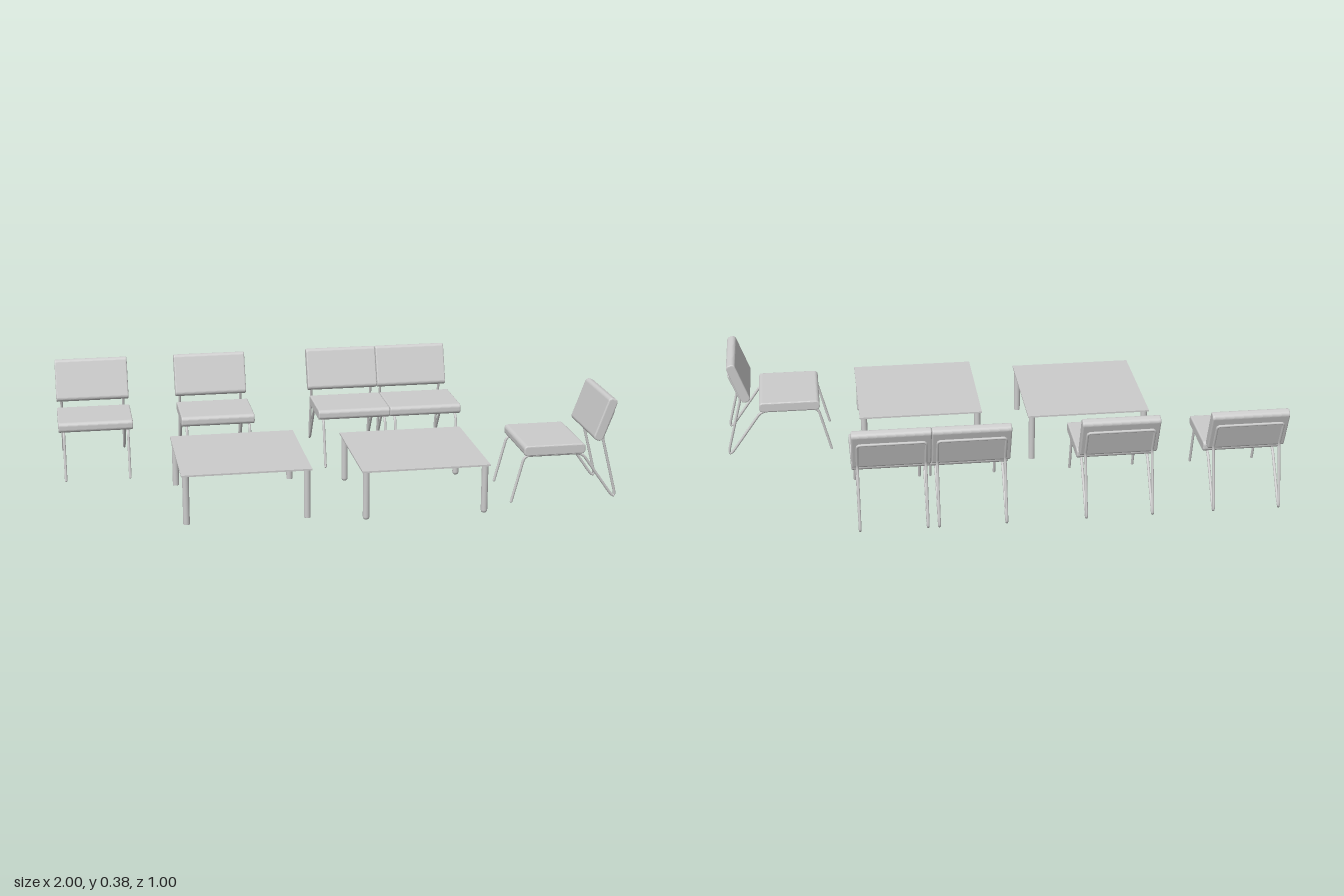
import * as THREE from 'three';

const material = new THREE.MeshStandardMaterial({ color: 0xcccccc });

function add(parent, name, geometry) {
  const mesh = new THREE.Mesh(geometry, material);
  mesh.name = name;
  parent.add(mesh);
  return mesh;
}

// Straight runs joined by smooth bends; each point is [x, y, z, bend length].
function bentPath(points) {
  const path = new THREE.CurvePath();
  const v = points.map(p => new THREE.Vector3(p[0], p[1], p[2]));
  let from = v[0];
  for (let i = 1; i < v.length - 1; i++) {
    const toward = (target) => v[i].clone().add(target.clone().sub(v[i]).setLength(points[i][3]));
    const a = toward(v[i - 1]), b = toward(v[i + 1]);
    path.add(new THREE.LineCurve3(from, a));
    path.add(new THREE.QuadraticBezierCurve3(a, v[i], b));
    from = b;
  }
  path.add(new THREE.LineCurve3(from, v[v.length - 1]));
  return path;
}

// Cushion: rounded side profile (depth x height) extruded across the width.
function cushionGeometry(width, depth, height, radius) {
  const bevel = 0.005;
  const w = depth / 2 - bevel, h = height / 2 - bevel, r = radius - bevel;
  const s = new THREE.Shape();
  s.absarc(w - r, h - r, r, 0, Math.PI / 2);
  s.absarc(-w + r, h - r, r, Math.PI / 2, Math.PI);
  s.absarc(-w + r, -h + r, r, Math.PI, Math.PI * 1.5);
  s.absarc(w - r, -h + r, r, Math.PI * 1.5, Math.PI * 2);
  s.closePath();
  const g = new THREE.ExtrudeGeometry(s, {
    depth: width - 2 * bevel, bevelSize: bevel, bevelThickness: bevel, bevelSegments: 3, curveSegments: 6
  });
  g.translate(0, 0, -width / 2 + bevel);
  g.rotateY(Math.PI / 2);
  return g;
}

// One continuous tube: front foot, seat rail, rear foot, back, then mirrored.
const half = 0.12, tubeRadius = 0.005;
const side = [
  [half, 0.003, 0.196, 0],
  [half, 0.176, 0.151, 0.02],
  [half, 0.176, -0.064, 0.025],
  [half, -0.024, -0.205, 0.064],
  [half, 0.232, -0.139, 0.012],
  [half, 0.333, -0.178, 0.012]
];
const framePath = bentPath([...side, ...side.map(p => [-p[0], p[1], p[2], p[3]]).reverse()]);
const frameGeometry = new THREE.TubeGeometry(framePath, 300, tubeRadius, 10, false);
const footGeometry = new THREE.SphereGeometry(tubeRadius, 10, 6);
const seatGeometry = cushionGeometry(0.279, 0.229, 0.038, 0.014);
const backGeometry = cushionGeometry(0.279, 0.036, 0.164, 0.014);

function createChair(x, z, turn) {
  const chair = new THREE.Group();
  chair.name = 'chair';
  add(chair, 'tubeFrame', frameGeometry);
  for (const s of [-1, 1]) add(chair, 'frontFoot', footGeometry).position.set(s * half, 0.005, 0.196);
  add(chair, 'seatCushion', seatGeometry).position.set(0, 0.198, 0.043);
  const back = add(chair, 'backCushion', backGeometry);
  back.position.set(0, 0.302, -0.143);
  back.rotation.x = -0.35;
  chair.position.set(x, 0, z);
  chair.rotation.y = turn;
  return chair;
}

function createTable(x, z, roundedFeet) {
  const table = new THREE.Group();
  table.name = 'table';
  const r = 0.0118, reach = 0.2143;
  add(table, 'tableTop', new THREE.BoxGeometry(0.461, 0.006, 0.461)).position.y = 0.182;
  // Legs, with domed or flat feet
  const tip = roundedFeet ? r : 0.001;
  const profile = [];
  for (let i = 0; i <= 6; i++) {
    const a = i / 6 * Math.PI / 2;
    profile.push(new THREE.Vector2(r - tip + tip * Math.sin(a), tip - tip * Math.cos(a)));
  }
  profile.unshift(new THREE.Vector2(0, 0));
  profile.push(new THREE.Vector2(r, 0.18));
  const legGeometry = new THREE.LatheGeometry(profile, 20);
  for (const sx of [-1, 1]) for (const sz of [-1, 1]) {
    add(table, 'tableLeg', legGeometry).position.set(sx * reach, 0, sz * reach);
  }
  // Diagonal braces under the top
  for (const s of [-1, 1]) {
    const brace = add(table, 'crossBrace', new THREE.BoxGeometry(reach * 2 * Math.SQRT2, 0.007, 0.01));
    brace.position.y = 0.1765;
    brace.rotation.y = s * Math.PI / 4;
  }
  table.position.set(x, 0, z);
  return table;
}

export function createModel() {
  const group = new THREE.Group();
  group.name = 'loungeSet';
  for (const x of [-0.86, -0.398, 0.128, 0.408]) group.add(createChair(x, -0.3, 0));
  group.add(createChair(0.801, 0.279, -Math.PI / 2));
  group.add(createTable(-0.362, 0.209, false));
  group.add(createTable(0.267, 0.27, true));
  return group;
}
